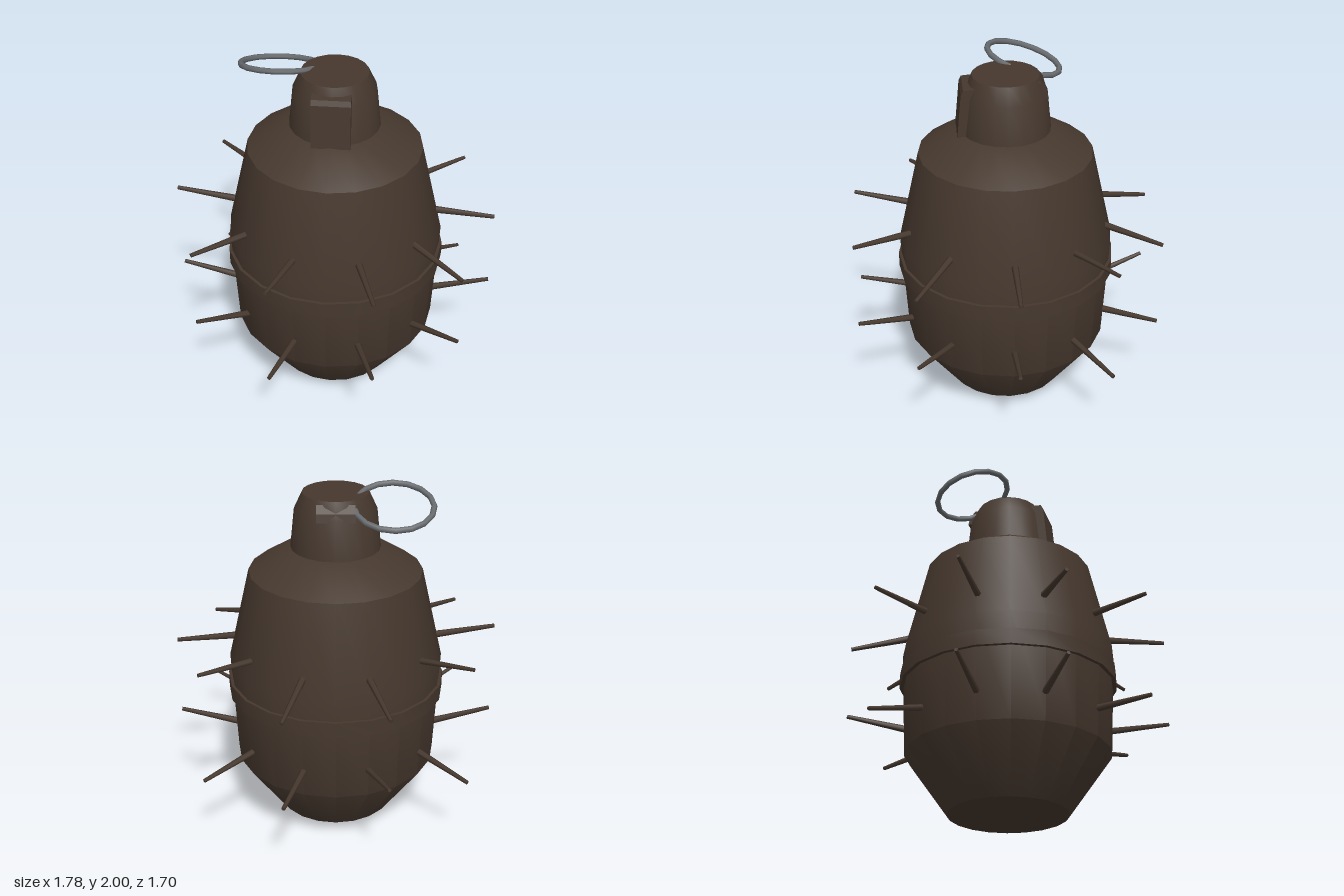
import * as THREE from 'three';
import { toCreasedNormals } from 'three/addons/utils/BufferGeometryUtils.js';

const brown = new THREE.MeshStandardMaterial({ color: 0x46382e });
brown.name = 'dark brown';
const steel = new THREE.MeshStandardMaterial({ color: 0x6a6d70 });
steel.name = 'steel grey';

function add(parent, name, geometry, material) {
  const mesh = new THREE.Mesh(geometry, material);
  mesh.name = name;
  parent.add(mesh);
  return mesh;
}

function lathe(points) {
  const profile = points.map(([r, y]) => new THREE.Vector2(r, y));
  return toCreasedNormals(new THREE.LatheGeometry(profile, 20), 0.62);
}

// Side profile given as [z, y], extruded across x
function plate(points, width) {
  const shape = new THREE.Shape(points.map(([z, y]) => new THREE.Vector2(z, y)));
  const geometry = new THREE.ExtrudeGeometry(shape, { depth: width, bevelEnabled: false });
  geometry.translate(0, 0, -width / 2);
  geometry.rotateY(-Math.PI / 2);
  return geometry;
}

// Tapered spike pointing outward, passing the shell at rootY and ending at tipY
function spike(angle, rootY, tipY) {
  const at = (r, y) => new THREE.Vector3(Math.cos(angle) * r, y, Math.sin(angle) * r);
  const slope = (tipY - rootY) / 0.34;
  const start = at(0.5, rootY - slope * 0.05);
  const end = at(0.89, tipY);
  const dir = end.clone().sub(start);
  const geometry = new THREE.CylinderGeometry(0.011, 0.021, dir.length(), 6);
  geometry.applyQuaternion(new THREE.Quaternion().setFromUnitVectors(
    new THREE.Vector3(0, 1, 0), dir.clone().normalize()));
  const mid = start.add(end).multiplyScalar(0.5);
  geometry.translate(mid.x, mid.y, mid.z);
  return geometry;
}

export function createModel() {
  const model = new THREE.Group();
  model.name = 'spikedGrenade';

  // Faceted egg-shaped shell and the tapered neck on it
  add(model, 'shell', lathe([
    [0, 0], [0.33, 0.075], [0.567, 0.405], [0.597, 1.0],
    [0.477, 1.52], [0.265, 1.655], [0, 1.655],
  ]), brown);
  add(model, 'neck', lathe([
    [0.247, 1.64], [0.223, 1.87], [0.18, 1.963], [0, 1.963],
  ]), brown);

  // Band around the middle
  add(model, 'band', lathe([
    [0.57, 0.805], [0.608, 0.805], [0.608, 0.893], [0.57, 0.893],
  ]), brown);

  // Lever on the front and clip at the back of the neck
  add(model, 'lever', plate([
    [0.15, 1.65], [0.265, 1.65], [0.243, 1.89], [0.23, 1.917], [0.15, 1.925],
  ], 0.206), brown);
  add(model, 'pinClip', plate([
    [-0.14, 1.86], [-0.218, 1.86], [-0.208, 1.905], [-0.175, 1.945], [-0.14, 1.945],
  ], 0.206), brown);

  // Tilted pull ring
  const ring = add(model, 'pullRing', new THREE.TorusGeometry(0.21, 0.016, 6, 16), steel);
  ring.rotation.x = Math.PI / 2 - 0.3;
  ring.position.set(-0.305, 1.922, -0.125);

  // Two rows of uneven spikes; tip heights run from +x towards +z
  const rows = [
    { rootY: 1.12, tips: [1.09, 1.04, 1.105, 1.145, 1.105, 1.175, 1.165, 1.045, 1.03, 1.135] },
    { rootY: 0.56, tips: [0.645, 0.615, 0.605, 0.56, 0.64, 0.65, 0.47, 0.635, 0.52, 0.485] },
  ];
  const spikes = new THREE.Group();
  spikes.name = 'spikes';
  for (const { rootY, tips } of rows) {
    tips.forEach((tipY, i) => {
      add(spikes, 'spike', spike(i * Math.PI / 5, rootY, tipY), brown);
    });
  }
  model.add(spikes);

  return model;
}
